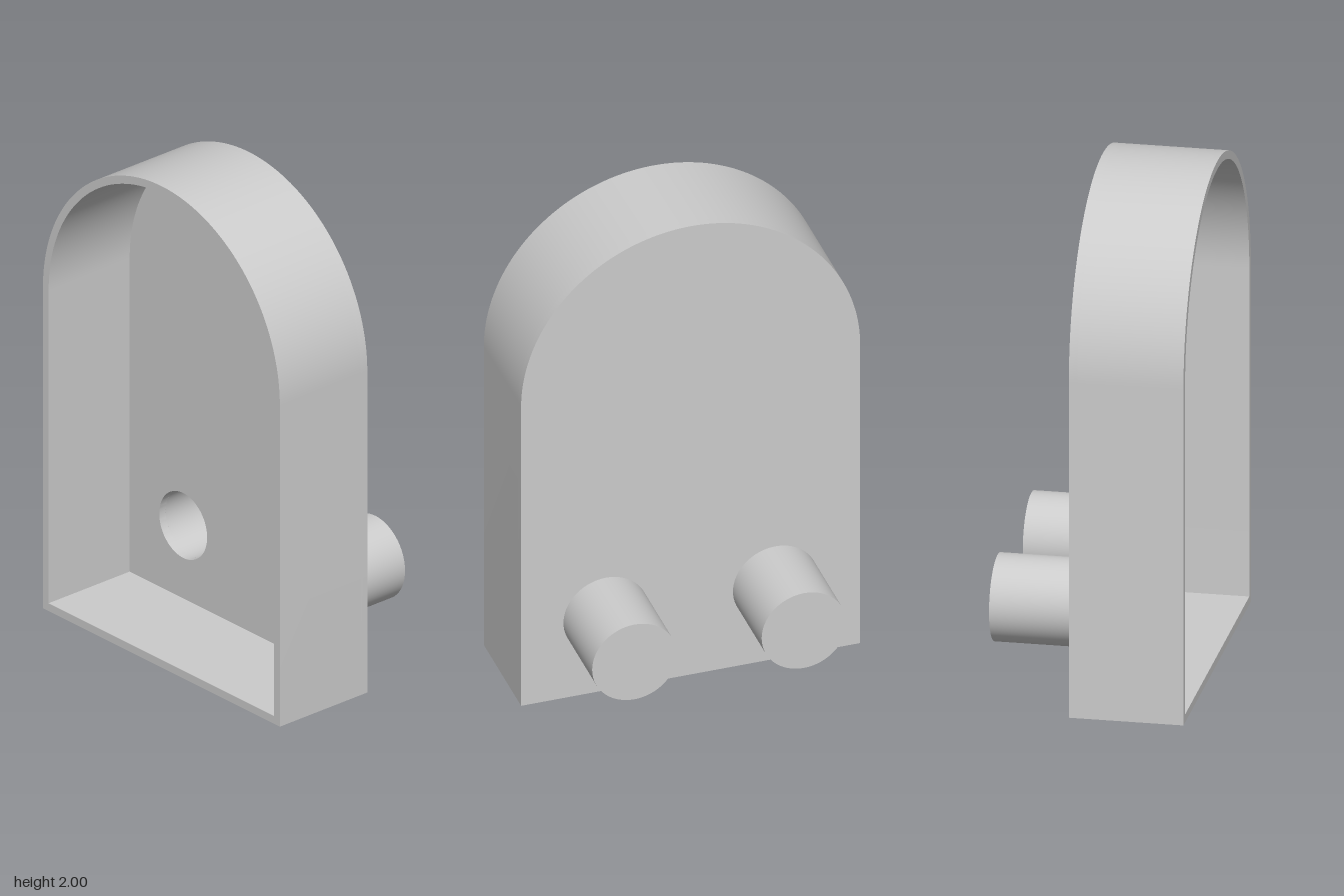
import * as THREE from 'three';
import { toCreasedNormals } from 'three/addons/utils/BufferGeometryUtils.js';

const HALF = 0.6667, HEIGHT = 2, WALL = 0.032;
const BACK = -0.05, FRONT = 0.385, PEG_END = -0.385;
const PEG_R = 0.1667, PEG_X = 0.3333, PEG_Y = 0.335;

// Round-topped outline, inset from the outer edge
function arch(path, inset) {
  const r = HALF - inset, spring = HEIGHT - HALF;
  path.moveTo(-r, inset);
  path.lineTo(r, inset);
  path.lineTo(r, spring);
  path.absarc(0, spring, r, 0, Math.PI, false);
  path.lineTo(-r, inset);
  return path;
}

function extrude(shape, z0, z1) {
  const g = new THREE.ExtrudeGeometry(shape, { depth: z1 - z0, bevelEnabled: false, curveSegments: 48 });
  g.translate(0, 0, z0);
  return toCreasedNormals(g, 0.5);
}

export function createModel() {
  const group = new THREE.Group();
  const material = new THREE.MeshStandardMaterial({ color: 0xcccccc });
  const add = (name, geometry) => {
    const mesh = new THREE.Mesh(geometry, material);
    mesh.name = name;
    group.add(mesh);
    return mesh;
  };

  // Back panel, open where the hollow pegs meet it
  const panel = arch(new THREE.Shape(), 0);
  for (const s of [-1, 1]) {
    panel.holes.push(new THREE.Path().absarc(s * PEG_X, PEG_Y, PEG_R - WALL, 0, Math.PI * 2, true));
  }
  add('backPanel', extrude(panel, BACK, BACK + WALL));

  // Thin wall around the tray, open to the front
  const rim = arch(new THREE.Shape(), 0);
  rim.holes.push(arch(new THREE.Path(), WALL));
  add('rimWall', extrude(rim, BACK + WALL, FRONT));

  // Hollow pegs, closed at the rear end
  const r = PEG_R - WALL;
  const profile = [
    [0, PEG_END], [PEG_R, PEG_END], [PEG_R, BACK],
    [r, BACK], [r, PEG_END + WALL], [0, PEG_END + WALL],
  ].map(([x, y]) => new THREE.Vector2(x, y));
  const peg = toCreasedNormals(new THREE.LatheGeometry(profile, 64).rotateX(Math.PI / 2), 0.5);
  add('leftPeg', peg).position.set(PEG_X, PEG_Y, 0);
  add('rightPeg', peg).position.set(-PEG_X, PEG_Y, 0);

  return group;
}
